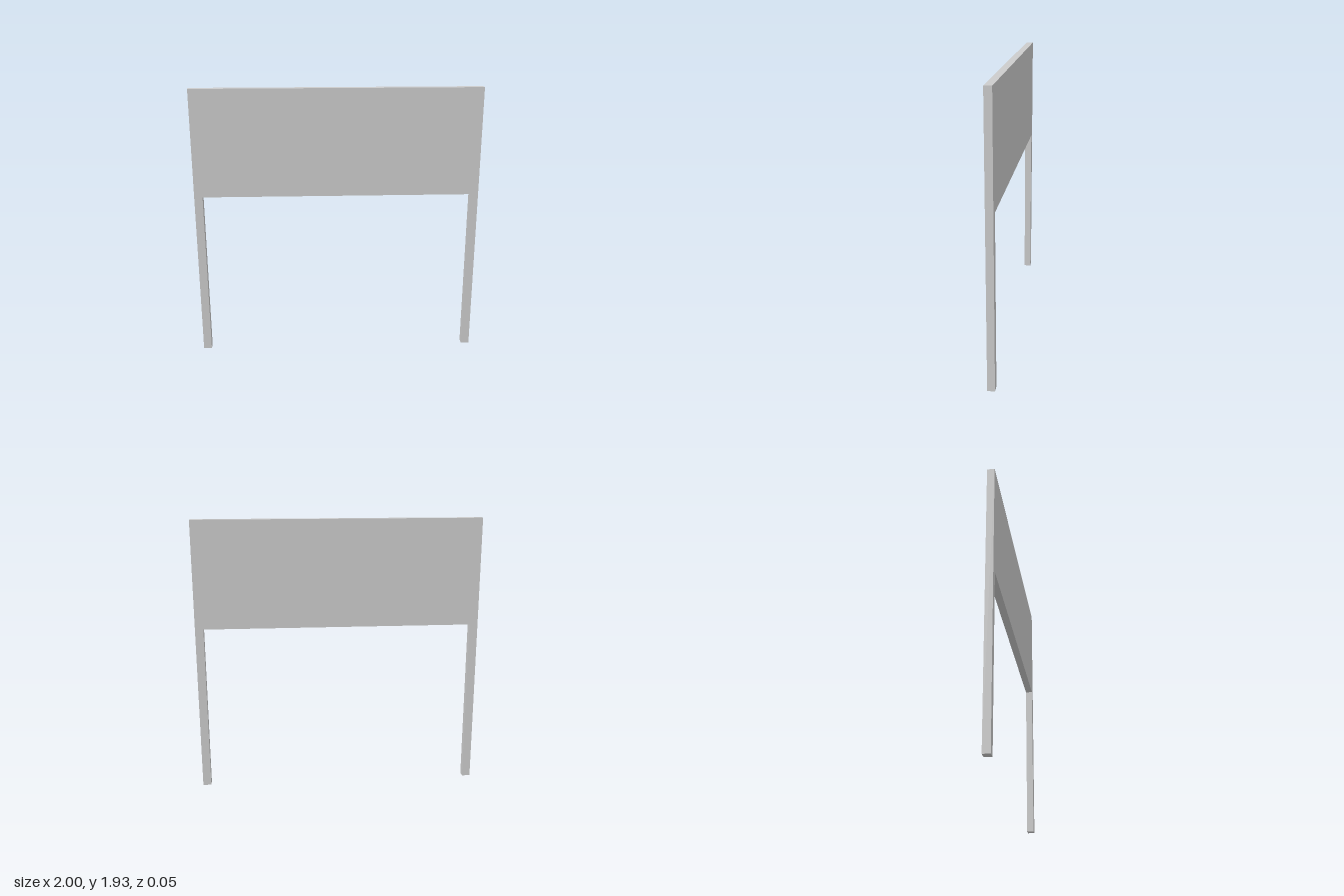
import * as THREE from 'three';

const HALF_WIDTH = 1, HEIGHT = 1.93, PANEL_BOTTOM = 1.177, LEG_WIDTH = 0.058, DEPTH = 0.05;

export function createModel() {
  const group = new THREE.Group();
  group.name = 'signBoard';

  // One seamless slab: a wide panel carried by a leg at each end
  const inner = HALF_WIDTH - LEG_WIDTH;
  const outline = new THREE.Shape([
    [-HALF_WIDTH, 0], [-inner, 0], [-inner, PANEL_BOTTOM], [inner, PANEL_BOTTOM],
    [inner, 0], [HALF_WIDTH, 0], [HALF_WIDTH, HEIGHT], [-HALF_WIDTH, HEIGHT],
  ].map(([x, y]) => new THREE.Vector2(x, y)));

  const geometry = new THREE.ExtrudeGeometry(outline, { depth: DEPTH, bevelEnabled: false });
  geometry.translate(0, 0, -DEPTH / 2);

  const board = new THREE.Mesh(geometry, new THREE.MeshStandardMaterial({ color: 0xcccccc }));
  board.name = 'panelWithLegs';
  group.add(board);
  return group;
}
